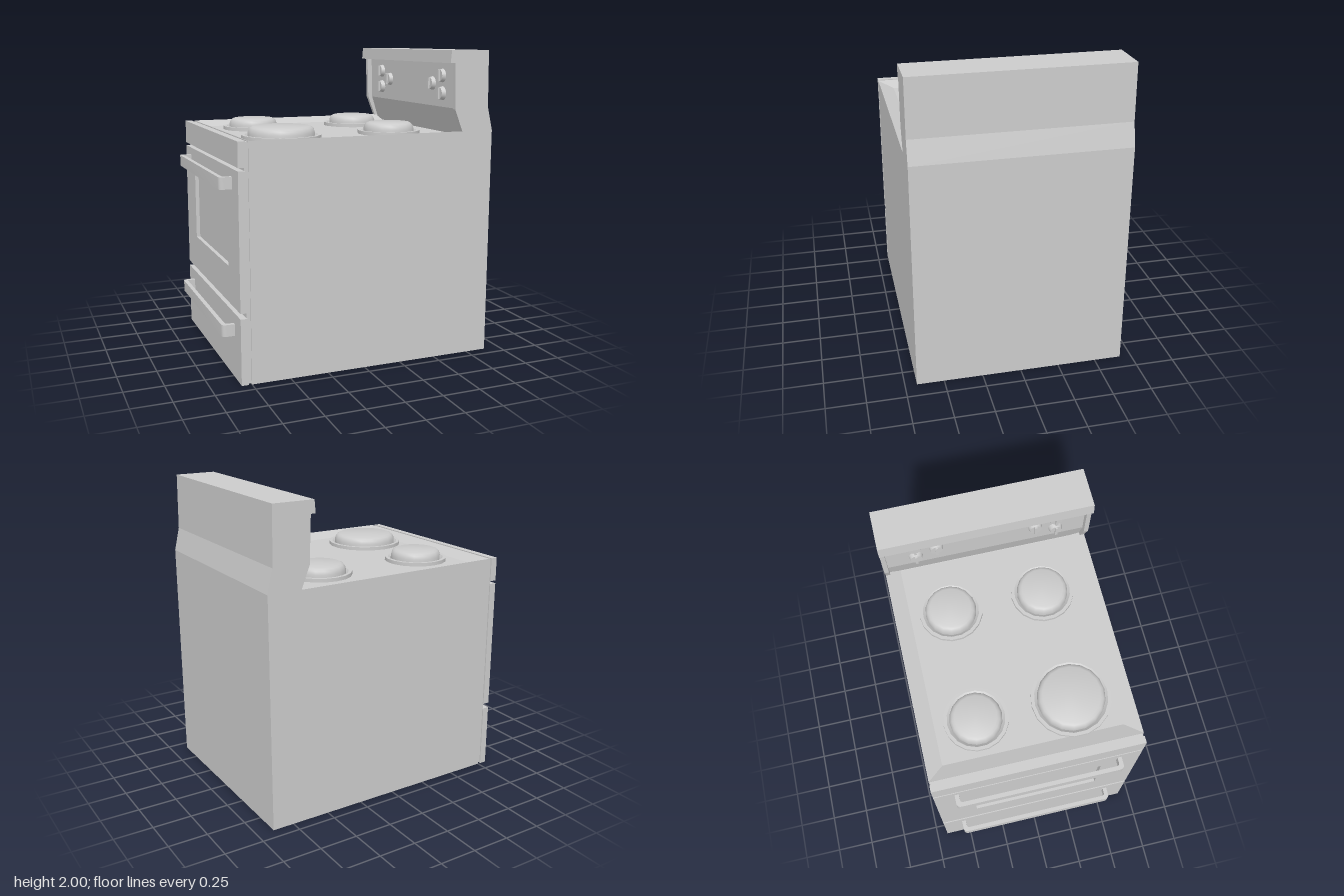
import * as THREE from 'three';
import { toCreasedNormals } from 'three/addons/utils/BufferGeometryUtils.js';

const material = new THREE.MeshStandardMaterial({ color: 0xcccccc });
const W = 0.675; // half width along z

function add(parent, name, geometry, x = 0, y = 0, z = 0) {
  const mesh = new THREE.Mesh(geometry, material);
  mesh.name = name;
  mesh.position.set(x, y, z);
  parent.add(mesh);
  return mesh;
}

// Box given by its lower and upper corners
function block(parent, name, [x0, y0, z0], [x1, y1, z1]) {
  return add(parent, name, new THREE.BoxGeometry(x1 - x0, y1 - y0, z1 - z0),
    (x0 + x1) / 2, (y0 + y1) / 2, (z0 + z1) / 2);
}

function polygon(points) {
  return new THREE.Shape(points.map(([x, y]) => new THREE.Vector2(x, y)));
}

function extrude(shape, depth, curveSegments = 5) {
  return new THREE.ExtrudeGeometry(shape, { depth, bevelEnabled: false, curveSegments });
}

// Rectangular cross-sections stacked from the base to the sunken cooktop
function bodyGeometry() {
  const rings = [
    [-0.75, 0.89, W, 0],
    [-0.75, 0.89, W, 1.49],
    [-0.66, 0.7, 0.575, 1.455],
  ].map(([x0, x1, z, y]) => [[x1, y, z], [x1, y, -z], [x0, y, -z], [x0, y, z]]);
  const positions = [];
  const quad = (a, b, c, d) => positions.push(...a, ...b, ...c, ...a, ...c, ...d);
  for (let r = 0; r < 2; r++) {
    for (let i = 0; i < 4; i++) {
      const j = (i + 1) % 4;
      quad(rings[r][i], rings[r][j], rings[r + 1][j], rings[r + 1][i]);
    }
  }
  quad(...rings[2]);
  quad(...[...rings[0]].reverse());
  const geometry = new THREE.BufferGeometry();
  geometry.setAttribute('position', new THREE.Float32BufferAttribute(positions, 3));
  geometry.computeVertexNormals();
  return geometry;
}

// Low outer ring, groove and raised plate
function burnerGeometry(r) {
  const profile = [
    [r + 0.04, 1.44], [r + 0.04, 1.478], [r + 0.018, 1.478], [r, 1.462],
    [r, 1.49], [r - 0.006, 1.51], [r - 0.016, 1.523], [r - 0.032, 1.53], [0, 1.53],
  ].map(([x, y]) => new THREE.Vector2(x, y));
  return toCreasedNormals(new THREE.LatheGeometry(profile, 18), 0.65);
}

// U-shaped pull with rounded outer corners, seen from above
function handleGeometry() {
  const s = new THREE.Shape();
  const x0 = -0.895, x1 = -0.812, z = 0.543, r = 0.03, t = 0.027;
  s.moveTo(x1, -z);
  s.lineTo(x0 + r, -z);
  s.quadraticCurveTo(x0, -z, x0, -z + r);
  s.lineTo(x0, z - r);
  s.quadraticCurveTo(x0, z, x0 + r, z);
  s.lineTo(x1, z);
  s.lineTo(x1, z - t);
  s.lineTo(x0 + t + 0.02, z - t);
  s.quadraticCurveTo(x0 + t, z - t, x0 + t, z - t - 0.02);
  s.lineTo(x0 + t, -z + t + 0.02);
  s.quadraticCurveTo(x0 + t, -z + t, x0 + t + 0.02, -z + t);
  s.lineTo(x1, -z + t);
  return toCreasedNormals(extrude(s, 0.075).rotateX(Math.PI / 2), 0.6);
}

export function createModel() {
  const model = new THREE.Group();
  model.name = 'stove';

  add(model, 'body', bodyGeometry());

  // Front: thin backing plate, control strip, drawer
  block(model, 'frontBacking', [-0.775, 0.006, -W + 0.008], [-0.745, 1.484, W - 0.008]);
  block(model, 'topPanel', [-0.815, 1.335, -W], [-0.77, 1.49, W]);
  block(model, 'drawer', [-0.815, 0, -W], [-0.77, 0.42, W]);

  // Door with a sunken window
  const door = polygon([[-W, 0.455], [W, 0.455], [W, 1.315], [-W, 1.315]]);
  door.holes.push(polygon([[-0.42, 0.69], [-0.42, 1.13], [0.42, 1.13], [0.42, 0.69]]));
  add(model, 'door', extrude(door, 0.045).rotateY(-Math.PI / 2), -0.77);
  block(model, 'doorWindow', [-0.79, 0.68, -0.43], [-0.771, 1.14, 0.43]);

  // Handles, placed by their upper edge
  const handle = handleGeometry();
  add(model, 'doorHandle', handle, 0, 1.265);
  add(model, 'drawerHandle', handle, 0, 0.35);

  // Burners
  for (const [x, z, r] of [[-0.42, -0.31, 0.165], [0.33, -0.31, 0.165],
    [0.33, 0.3, 0.165], [-0.42, 0.3, 0.215]]) {
    add(model, 'burner', burnerGeometry(r), x, 0, z);
  }

  // Backguard: recessed panel between two end caps, lip along the top
  const back = [[0.89, 1.49], [0.855, 1.64], [0.848, 2], [0.58, 2], [0.573, 1.92]];
  const capProfile = polygon([[0.67, 1.49], ...back, [0.605, 1.92], [0.615, 1.63]]);
  const panelProfile = polygon([[0.705, 1.45], [0.88, 1.45], ...back, [0.64, 1.92], [0.648, 1.63]]);
  const cap = 0.03;
  add(model, 'backguardPanel', extrude(panelProfile, 2 * (W - cap)), 0, 0, -W + cap);
  for (const z of [-W, W - cap]) add(model, 'backguardEnd', extrude(capProfile, cap), 0, 0, z);

  // Knobs: a group of three at each end, with a grip bar
  const disc = new THREE.CylinderGeometry(0.038, 0.046, 0.028, 16).rotateZ(Math.PI / 2);
  const grip = new THREE.BoxGeometry(0.02, 0.074, 0.016);
  for (const side of [-1, 1]) {
    for (const [z, y] of [[0.455, 1.835], [0.455, 1.72], [0.32, 1.78]]) {
      const knob = new THREE.Group();
      knob.name = 'knob';
      knob.position.set(0.632, y, side * z);
      add(knob, 'knobDisc', disc);
      add(knob, 'knobGrip', grip, -0.016);
      model.add(knob);
    }
  }

  return model;
}
